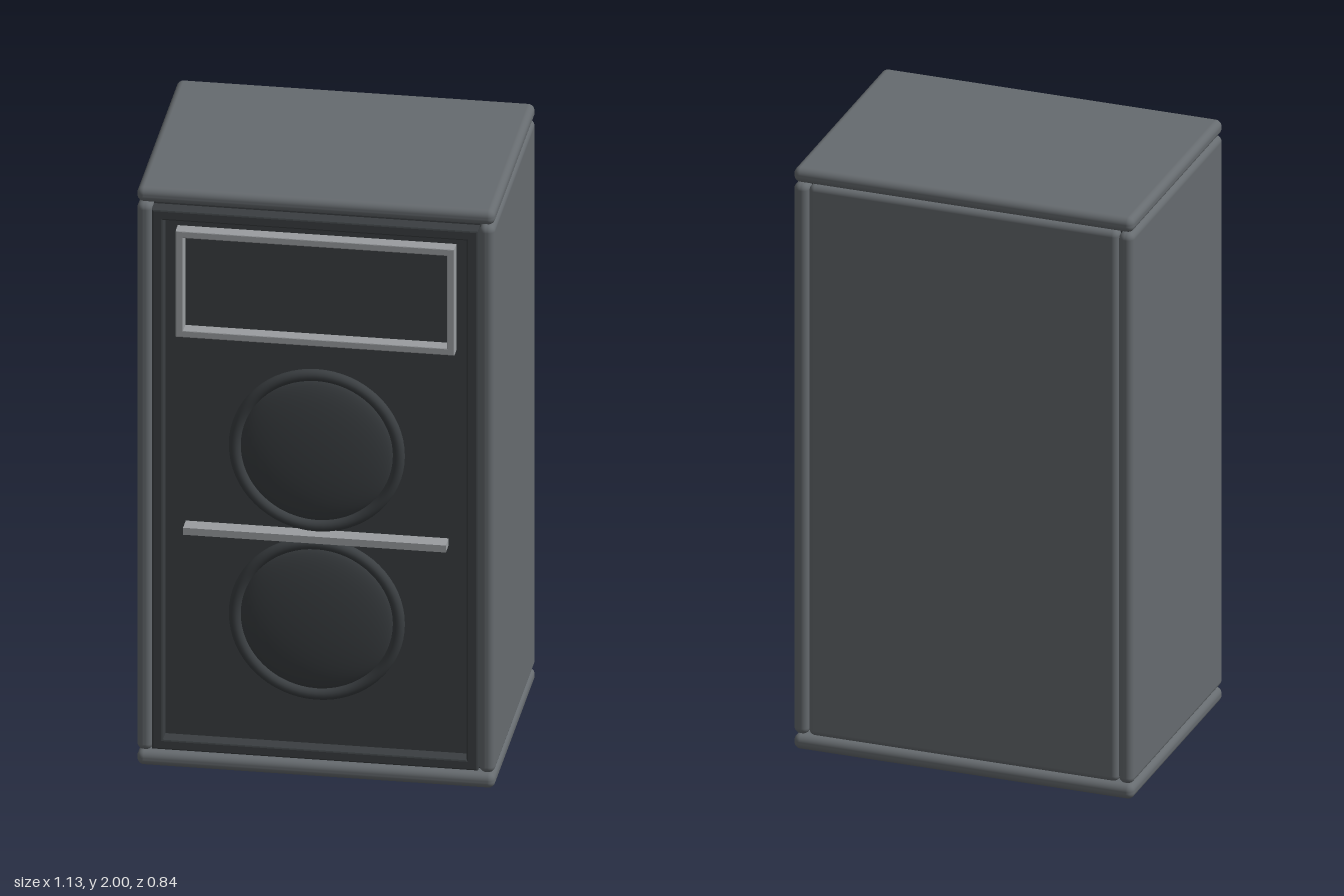
import * as THREE from 'three';
import { RoundedBoxGeometry } from 'three/addons/geometries/RoundedBoxGeometry.js';

const mat = (color) => new THREE.MeshStandardMaterial({ color });

export function createModel() {
  const model = new THREE.Group();
  model.name = 'loudspeaker';
  const shell = mat(0x666b6f), dark = mat(0x3a3e41), trim = mat(0x9a9da0), rubber = mat(0x222222);

  const add = (name, geometry, material, x, y, z, parent = model) => {
    const mesh = new THREE.Mesh(geometry, material);
    mesh.name = name;
    mesh.position.set(x, y, z);
    parent.add(mesh);
    return mesh;
  };
  const panel = (w, h, d, r) => new RoundedBoxGeometry(w, h, d, 5, r);

  // Rectangular ring standing in the xy plane, from z = 0 to z = depth
  const frame = (w, h, border, depth, bevel) => {
    const rect = (target, hw, hh) => target
      .moveTo(-hw, -hh).lineTo(hw, -hh).lineTo(hw, hh).lineTo(-hw, hh).closePath();
    const shape = rect(new THREE.Shape(), w / 2 - bevel, h / 2 - bevel);
    shape.holes.push(rect(new THREE.Path(), w / 2 - border + bevel, h / 2 - border + bevel));
    const geometry = new THREE.ExtrudeGeometry(shape, {
      depth: depth - 2 * bevel, bevelEnabled: true, bevelSize: bevel,
      bevelThickness: bevel, bevelSegments: 2,
    });
    return geometry.translate(0, 0, bevel);
  };

  // Cabinet: rounded boards around a core
  add('topPanel', panel(1.13, 0.05, 0.82, 0.022), shell, 0, 1.975, -0.01);
  add('bottomPanel', panel(1.13, 0.05, 0.82, 0.022), shell, 0, 0.034, -0.01);
  for (const s of [-1, 1]) {
    const side = s > 0 ? 'left' : 'right';
    add(side + 'SidePanel', panel(0.05, 1.886, 0.82, 0.022), shell, s * 0.54, 1.005, -0.01);
    add(side + 'Foot', new THREE.BoxGeometry(0.06, 0.02, 0.08), rubber, s * 0.44, 0.01, 0.24);
  }
  add('backPanel', panel(1.03, 1.886, 0.05, 0.02), shell, 0, 1.005, -0.392);
  add('baffle', new THREE.BoxGeometry(1.03, 1.88, 0.74), dark, 0, 1.005, -0.007);

  // Front surround, horn frame and divider strip
  add('frontFrame', frame(1.03, 1.86, 0.036, 0.053, 0.006), dark, 0, 1.007, 0.36);
  add('hornFrame', frame(0.88, 0.366, 0.024, 0.046, 0.003), trim, 0, 1.683, 0.362);
  add('dividerStrip', new THREE.BoxGeometry(0.83, 0.024, 0.056), trim, 0, 0.837, 0.389);

  // Two woofers, each a rolled ring around a shallow dome
  const ringGeometry = new THREE.TorusGeometry(0.259, 0.019, 16, 64);
  const domeGeometry = new THREE.SphereGeometry(0.245, 48, 12, 0, Math.PI * 2, 0, Math.PI / 2);
  domeGeometry.rotateX(Math.PI / 2).scale(1, 1, 0.15);
  for (const [name, y] of [['upperWoofer', 1.125], ['lowerWoofer', 0.545]]) {
    const woofer = new THREE.Group();
    woofer.name = name;
    woofer.position.set(0, y, 0.363);
    add('ring', ringGeometry, dark, 0, 0, 0.006, woofer);
    add('dome', domeGeometry, dark, 0, 0, 0, woofer);
    model.add(woofer);
  }
  return model;
}
